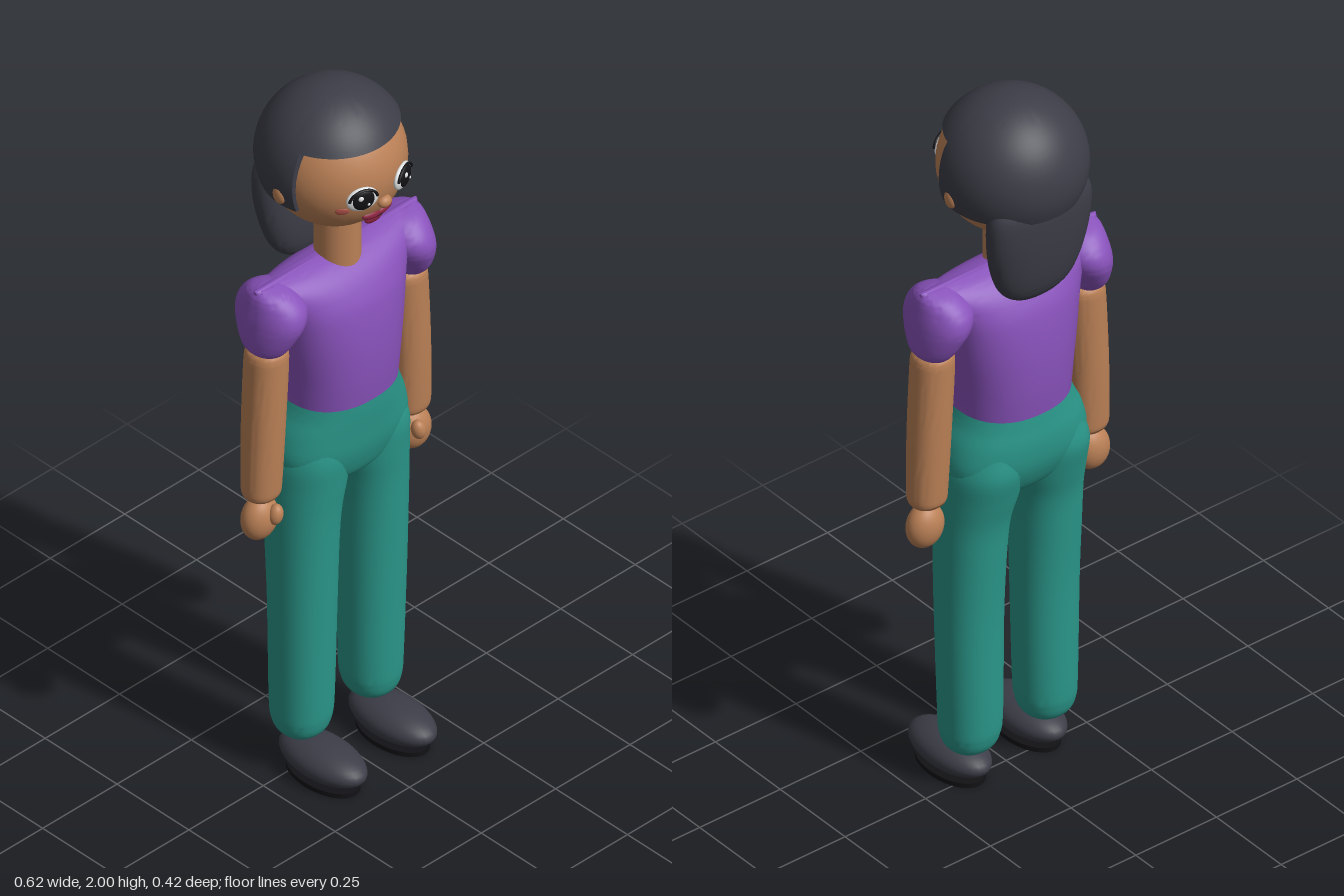
import * as THREE from 'three';
import { toCreasedNormals } from 'three/addons/utils/BufferGeometryUtils.js';

const mat = (name, color) => Object.assign(new THREE.MeshStandardMaterial({ color }), { name });

// Loft of superellipse rings, bottom to top. Row: [y, cx, cz, rx, rz, exponent, zMax]
function loft(rows, segments = 40) {
  const pos = [], index = [];
  for (const [y, cx, cz, rx, rz, e = 2, zMax = 9] of rows) {
    for (let j = 0; j < segments; j++) {
      const t = (j / segments) * Math.PI * 2, c = Math.cos(t), s = Math.sin(t);
      const x = cx + rx * Math.sign(c) * Math.abs(c) ** (2 / e);
      const z = cz + rz * Math.sign(s) * Math.abs(s) ** (2 / e);
      pos.push(x, y, Math.min(z, zMax));
    }
  }
  const at = (i, j) => i * segments + (j % segments);
  const last = rows.length - 1, bottom = rows.length * segments, top = bottom + 1;
  for (const r of [rows[0], rows[last]]) pos.push(r[1], r[0], r[2]);
  for (let j = 0; j < segments; j++) {
    for (let i = 0; i < last; i++) {
      index.push(at(i, j), at(i + 1, j), at(i, j + 1));
      index.push(at(i, j + 1), at(i + 1, j), at(i + 1, j + 1));
    }
    index.push(bottom, at(0, j), at(0, j + 1), top, at(last, j + 1), at(last, j));
  }
  const g = new THREE.BufferGeometry();
  g.setAttribute('position', new THREE.Float32BufferAttribute(pos, 3));
  g.setIndex(index);
  return toCreasedNormals(g, 0.8);
}

// Catmull-Rom resampling of loft rows
function smooth(rows, n = 5) {
  const out = [], last = rows.length - 1;
  for (let i = 0; i < last; i++) {
    const [a, b, c, d] = [i - 1, i, i + 1, i + 2].map(k => rows[Math.min(last, Math.max(0, k))]);
    for (let k = 0; k < n; k++) {
      const t = k / n;
      out.push(b.map((v, m) => v + 0.5 * t * (c[m] - a[m] + t * (2 * a[m] - 5 * v + 4 * c[m] - d[m]
        + t * (3 * (v - c[m]) + d[m] - a[m])))));
    }
  }
  return [...out, rows[last]];
}

export function createModel() {
  const model = new THREE.Group();
  model.name = 'woman';
  const skin = mat('skin', 0xba8056), shirt = mat('purple shirt', 0x8852ba);
  const trousers = mat('teal trousers', 0x2a9689), hair = mat('dark hair', 0x3c3d47);
  const sole = mat('black', 0x121216), white = mat('eye white', 0xdcdfe0);
  const lips = mat('lips', 0x8a2340), blush = mat('blush', 0xa04a42);

  const add = (name, geometry, material) => {
    const mesh = new THREE.Mesh(geometry, material);
    mesh.name = name;
    model.add(mesh);
    return mesh;
  };
  const ball = (name, material, [x, y, z], [rx, ry, rz], rotY = 0, rotZ = 0) => {
    const mesh = add(name, new THREE.SphereGeometry(1, 32, 20), material);
    mesh.position.set(x, y, z);
    mesh.scale.set(rx, ry, rz);
    mesh.rotation.set(0, rotY, rotZ);
    return mesh;
  };

  // Head and neck
  const R = 0.178, headY = 1.8, headZ = -0.01;
  const faceZ = (x, y) => headZ + Math.sqrt(R * R - x * x - (y - headY) ** 2);
  ball('head', skin, [0, headY, headZ], [R, R, R]);
  add('neck', new THREE.CylinderGeometry(0.058, 0.058, 0.18, 32), skin).position.set(0, 1.57, 0);
  ball('nose', skin, [0, 1.75, 0.163], [0.02, 0.016, 0.016]);

  // Hair cap: a sphere cut flat above the face, in front of the ears and at the nape
  const hr = 0.192, hy = 1.808, hz = -0.018;
  const capRow = (y, zMax) => {
    const r = Math.sqrt(Math.max(1e-6, hr * hr - (y - hy) ** 2));
    return [y, 0, hz, r, r, 2, zMax];
  };
  const capRows = [];
  for (let i = 0; i <= 10; i++) capRows.push(capRow(1.735 + 0.017 * i, 0.032));
  const start = Math.asin((1.905 - hy) / hr);
  for (let i = 0; i <= 14; i++) {
    const a = start + (Math.PI / 2 - start) * (i / 14);
    capRows.push(capRow(hy + hr * Math.sin(a), 9));
  }
  add('hairCap', loft(capRows, 64), hair);

  // Hair hanging behind the neck
  add('backHair', loft(smooth([
    [1.463, 0, -0.11, 0.03, 0.012, 2.3], [1.475, 0, -0.11, 0.07, 0.03, 2.3],
    [1.51, 0, -0.112, 0.108, 0.047, 2.3], [1.58, 0, -0.117, 0.136, 0.057, 2.3],
    [1.68, 0, -0.125, 0.153, 0.06, 2.3], [1.76, 0, -0.125, 0.145, 0.058, 2.3],
    [1.82, 0, -0.11, 0.09, 0.04, 2.3],
  ])), hair);

  // Shirt body, widening into a thin shoulder ridge
  const sz = -0.007;
  add('shirtBody', loft(smooth([
    [1.115, 0, sz, 0.154, 0.134, 2.3], [1.2, 0, sz, 0.16, 0.141, 2.3],
    [1.3, 0, sz, 0.174, 0.14, 2.3], [1.39, 0, sz, 0.188, 0.128, 2.4],
    [1.44, 0, sz, 0.208, 0.11, 2.4], [1.48, 0, sz, 0.24, 0.083, 2.4],
    [1.508, 0, sz, 0.268, 0.048, 2.4], [1.522, 0, sz, 0.272, 0.012, 2.4],
  ]), 56), shirt);

  // Trouser hips, closing into the crotch
  add('trouserHips', loft(smooth([
    [0.845, 0, -0.01, 0.03, 0.03, 2.2], [0.86, 0, -0.008, 0.075, 0.065, 2.2],
    [0.89, 0, -0.01, 0.14, 0.098, 2.3], [0.93, 0, -0.013, 0.188, 0.118, 2.4],
    [0.98, 0, -0.015, 0.201, 0.132, 2.4], [1.04, 0, -0.014, 0.189, 0.137, 2.3],
    [1.09, 0, -0.009, 0.166, 0.136, 2.3], [1.127, 0, -0.006, 0.153, 0.134, 2.3],
  ]), 56), trousers);

  // Mouth
  for (const s of [1, -1])
    ball('upperLip', lips, [s * 0.023, 1.707, faceZ(0.023, 1.707)], [0.027, 0.011, 0.009], s * 0.13, s * 0.15);
  ball('lowerLip', lips, [0, 1.684, faceZ(0, 1.684)], [0.03, 0.018, 0.009]);
  ball('mouthLine', sole, [0, 1.698, faceZ(0, 1.698) + 0.006], [0.03, 0.003, 0.005]);

  for (const s of [1, -1]) {
    // Eye: white, large iris, glints, lashes
    const eye = new THREE.Group();
    eye.name = 'eye';
    eye.position.set(s * 0.067, 1.788, 0.155);
    eye.rotation.y = s * 0.37;
    model.add(eye);
    eye.add(
      ball('eyeWhite', white, [0, 0, 0], [0.042, 0.034, 0.013]),
      ball('iris', sole, [0, 0.002, 0.008], [0.029, 0.029, 0.009]),
      ball('glint', white, [-0.009, 0.012, 0.015], [0.007, 0.007, 0.004]),
      ball('glint', white, [0.011, -0.009, 0.015], [0.004, 0.004, 0.003]),
    );
    const lash = new THREE.Mesh(new THREE.TorusGeometry(0.037, 0.004, 8, 24, Math.PI * 0.9), sole);
    lash.name = 'upperLash';
    lash.scale.y = 0.8;
    lash.rotation.z = Math.PI * 0.05;
    lash.position.z = 0.008;
    eye.add(lash);
    ball('cheekBlush', blush, [s * 0.106, 1.753, faceZ(0.106, 1.753)], [0.017, 0.01, 0.004], s * 0.68);
    ball('ear', skin, [s * 0.183, 1.77, -0.013], [0.012, 0.026, 0.02]);

    // Puffed sleeve
    add('sleeve', loft(smooth([
      [1.335, s * 0.238, sz, 0.04, 0.052, 2], [1.35, s * 0.238, sz, 0.049, 0.066, 2],
      [1.385, s * 0.23, sz, 0.06, 0.086, 2], [1.43, s * 0.218, sz, 0.07, 0.102, 2],
      [1.47, s * 0.212, sz, 0.07, 0.092, 2], [1.505, s * 0.22, sz, 0.054, 0.056, 2],
      [1.521, s * 0.225, sz, 0.035, 0.014, 2],
    ])), shirt);

    // Arm, hand and thumb
    add('arm', loft(smooth([
      [0.888, s * 0.25, -0.006, 0.034, 0.032, 2.2], [0.9, s * 0.25, -0.006, 0.048, 0.043, 2.2],
      [0.94, s * 0.25, -0.006, 0.052, 0.047, 2.2], [1.1, s * 0.244, -0.006, 0.054, 0.052, 2.2],
      [1.28, s * 0.235, -0.006, 0.054, 0.054, 2.2], [1.325, s * 0.233, -0.006, 0.05, 0.052, 2.2],
      [1.342, s * 0.233, -0.006, 0.036, 0.038, 2.2],
    ])), skin);
    ball('hand', skin, [s * 0.257, 0.826, -0.006], [0.051, 0.061, 0.041], 0, s * 0.15);
    ball('thumb', skin, [s * 0.24, 0.846, 0.033], [0.019, 0.028, 0.019], 0, s * 0.2);

    // Trouser leg
    add('trouserLeg', loft(smooth([
      [0.104, s * 0.118, -0.004, 0.035, 0.035, 2.2], [0.115, s * 0.118, -0.004, 0.058, 0.058, 2.2],
      [0.15, s * 0.117, -0.005, 0.073, 0.073, 2.2], [0.22, s * 0.116, -0.005, 0.078, 0.078, 2.2],
      [0.5, s * 0.117, -0.002, 0.083, 0.083, 2.2], [0.7, s * 0.116, -0.004, 0.086, 0.092, 2.2],
      [0.8, s * 0.112, -0.006, 0.09, 0.099, 2.2], [0.88, s * 0.104, -0.012, 0.098, 0.112, 2.2],
      [0.96, s * 0.1, -0.018, 0.099, 0.124, 2.2], [1.02, s * 0.09, -0.018, 0.088, 0.117, 2.2],
    ])), trousers);

    // Shoe with a thin sole
    ball('shoe', hair, [s * 0.117, 0.056, 0.071], [0.072, 0.047, 0.136]);
    const plate = add('shoeSole', new THREE.CylinderGeometry(1, 1, 0.013, 40), sole);
    plate.scale.set(0.064, 1, 0.112);
    plate.position.set(s * 0.117, 0.0065, 0.071);
  }
  return model;
}
